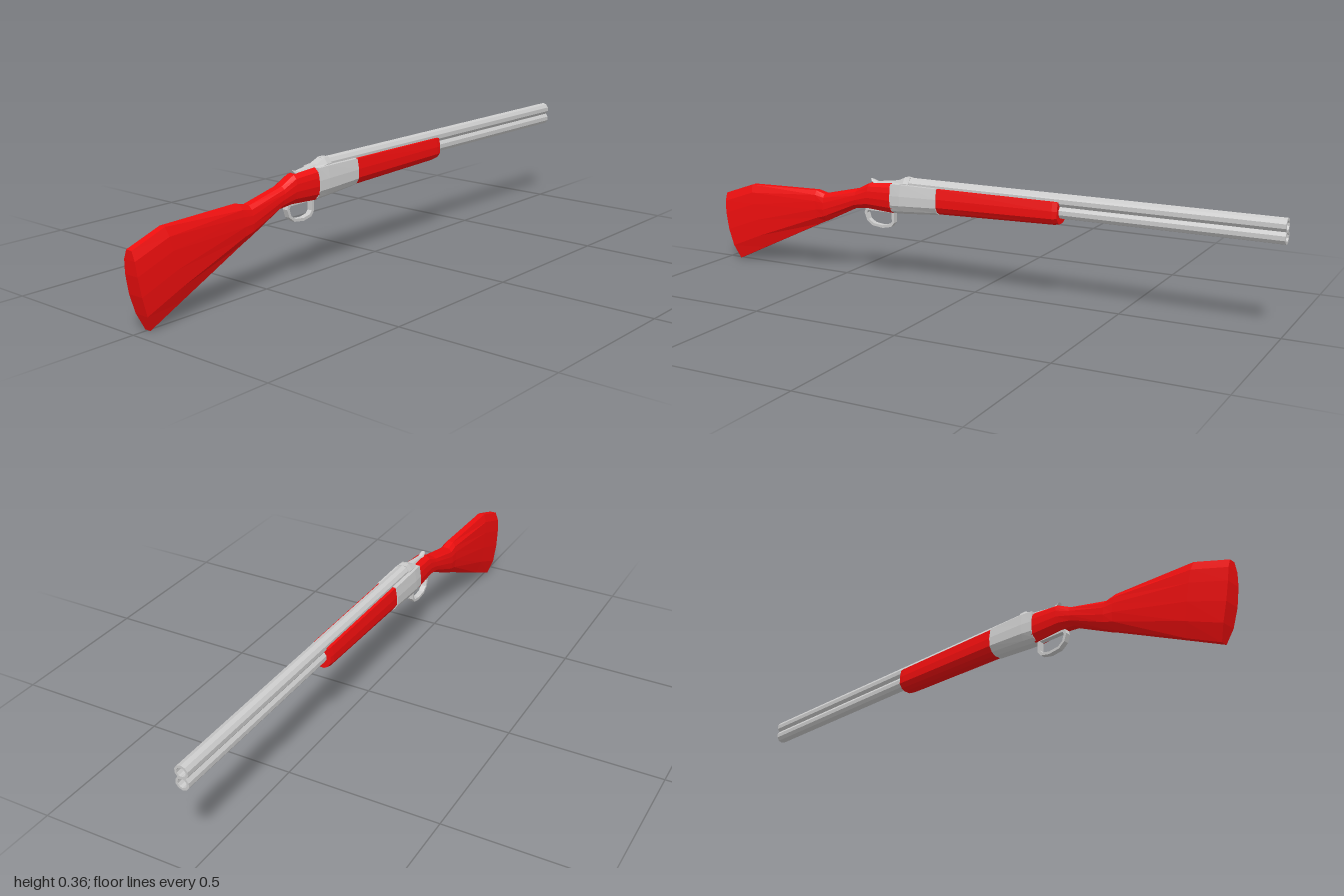
import * as THREE from 'three';

const grey = new THREE.MeshStandardMaterial({ color: 0xcccccc, flatShading: true });
const red = new THREE.MeshStandardMaterial({ color: 0xee0e0e, flatShading: true });

// Half cross-sections from bottom to top: [fraction of half width, fraction of height]
const OVAL = [[0.4, 0], [0.9, 0.2], [1, 0.45], [0.94, 0.7], [0.8, 0.88], [0.4, 1]];
const BODY = [[0.35, 0], [0.72, 0.1], [1, 0.3], [1, 0.62], [0.85, 1]];
const ROOF = [[1, 0], [1, 0.45], [0.5, 1]];

// Loft through sections [zTop, yTop, zBottom, yBottom, halfWidth, bulge], from rear (+z) to muzzle (-z)
function loft(name, material, profile, sections) {
  const half = profile.length, n = half * 2, pos = [], idx = [];
  for (const [zt, yt, zb, yb, w, bulge = 0] of sections) {
    const point = (side, [f, t]) =>
      pos.push(side * f * w, yb + (yt - yb) * t, zb + (zt - zb) * t + bulge * 4 * t * (1 - t));
    profile.forEach((p) => point(1, p));
    [...profile].reverse().forEach((p) => point(-1, p));
  }
  for (let s = 0; s < sections.length - 1; s++) {
    for (let j = 0; j < n; j++) {
      const a = s * n + j, b = s * n + (j + 1) % n;
      idx.push(a, a + n, b, b, a + n, b + n);
    }
  }
  // End caps, filled straight across from side to side
  const last = (sections.length - 1) * n;
  for (let j = 0; j < half - 1; j++) {
    const a = j, b = j + 1, c = n - 2 - j, d = n - 1 - j;
    idx.push(a, b, c, a, c, d);
    idx.push(last + a, last + c, last + b, last + a, last + d, last + c);
  }
  const geo = new THREE.BufferGeometry();
  geo.setAttribute('position', new THREE.Float32BufferAttribute(pos, 3));
  geo.setIndex(idx);
  geo.computeVertexNormals();
  const mesh = new THREE.Mesh(geo, material);
  mesh.name = name;
  return mesh;
}

// Hollow barrel, open at the muzzle
function barrel(name, y) {
  const r = 0.022, bore = 0.0145;
  const profile = [[0, -0.26], [r, -0.26], [r, 1], [bore, 1], [bore, 0.6], [0, 0.6]];
  const geo = new THREE.LatheGeometry(profile.map(([a, b]) => new THREE.Vector2(a, b)), 10);
  geo.rotateX(-Math.PI / 2);
  const mesh = new THREE.Mesh(geo, grey);
  mesh.name = name;
  mesh.position.y = y;
  return mesh;
}

// Closed loop cut from a side outline given as [z, y]
function sideLoop(name, outer, inner, width) {
  const toVec = (pts) => pts.map(([z, y]) => new THREE.Vector2(z, y));
  const shape = new THREE.Shape(toVec(outer));
  shape.holes.push(new THREE.Path(toVec(inner)));
  const geo = new THREE.ExtrudeGeometry(shape, { depth: width, bevelEnabled: false });
  geo.translate(0, 0, -width / 2);
  geo.rotateY(-Math.PI / 2);
  const mesh = new THREE.Mesh(geo, grey);
  mesh.name = name;
  return mesh;
}

export function createModel() {
  const model = new THREE.Group();
  model.name = 'doubleBarrelGun';

  // Shoulder stock, narrowing to the wrist behind the receiver
  model.add(loft('stock', red, OVAL, [
    [1, 0.235, 0.95, 0, 0.027, 0.013],
    [0.885, 0.275, 0.84, 0.052, 0.027],
    [0.61, 0.281, 0.6, 0.165, 0.027],
    [0.575, 0.272, 0.57, 0.178, 0.029],
    [0.44, 0.303, 0.45, 0.236, 0.029],
    [0.39, 0.328, 0.4, 0.241, 0.031],
    [0.295, 0.336, 0.295, 0.235, 0.036],
  ]));

  // Fore-end wrapped around the lower barrel
  model.add(loft('foreEnd', red, BODY, [
    [0.135, 0.335, 0.135, 0.249, 0.037],
    [-0.285, 0.335, -0.285, 0.26, 0.036],
    [-0.302, 0.334, -0.302, 0.263, 0.034],
  ]));

  // Receiver and the sloping breech above it
  model.add(loft('receiver', grey, BODY, [
    [0.3, 0.335, 0.3, 0.235, 0.037],
    [0.26, 0.337, 0.26, 0.237, 0.04],
    [0.125, 0.336, 0.125, 0.247, 0.04],
  ]));
  model.add(loft('breech', grey, ROOF, [
    [0.3, 0.338, 0.3, 0.325, 0.025],
    [0.255, 0.358, 0.255, 0.325, 0.025],
    [0.235, 0.358, 0.235, 0.325, 0.024],
  ]));

  // Opening lever on the tang
  model.add(loft('topLever', grey, ROOF, [
    [0.39, 0.342, 0.385, 0.334, 0.008],
    [0.365, 0.334, 0.365, 0.316, 0.011],
    [0.29, 0.343, 0.29, 0.318, 0.019],
  ]));

  // Stacked barrels
  model.add(barrel('upperBarrel', 0.336), barrel('lowerBarrel', 0.301));

  // Trigger guard
  model.add(sideLoop('triggerGuard',
    [[0.3, 0.243], [0.3, 0.2], [0.312, 0.185], [0.345, 0.178], [0.385, 0.183], [0.407, 0.2], [0.416, 0.225], [0.41, 0.243]],
    [[0.309, 0.234], [0.309, 0.203], [0.318, 0.193], [0.346, 0.187], [0.381, 0.191], [0.399, 0.204], [0.406, 0.225], [0.402, 0.234]],
    0.018));

  return model;
}
